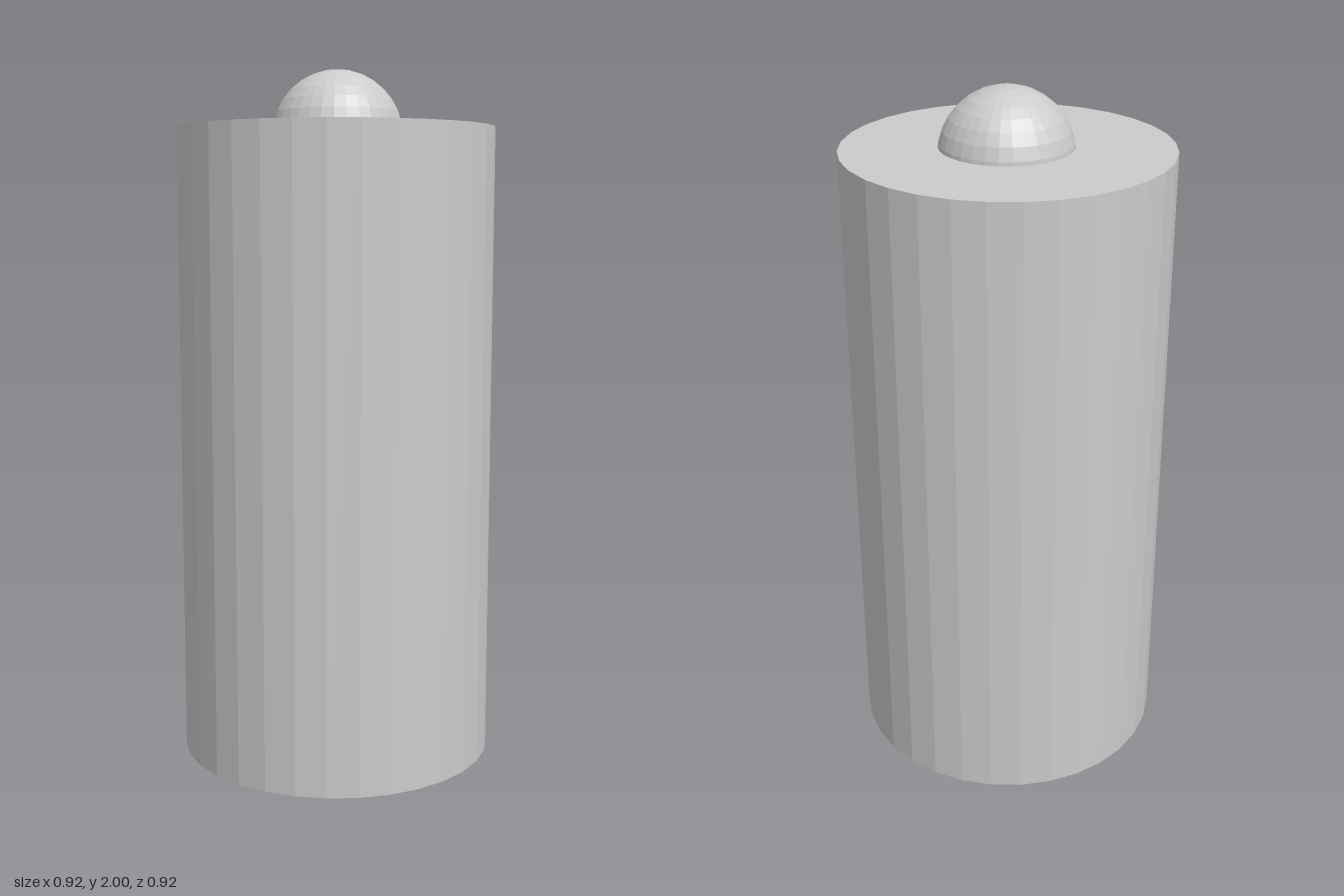
import * as THREE from 'three';

export function createModel() {
  const group = new THREE.Group();
  const material = new THREE.MeshStandardMaterial({ color: 0xcccccc, flatShading: true });

  const add = (name, geometry, y, z = 0) => {
    const mesh = new THREE.Mesh(geometry, material);
    mesh.name = name;
    mesh.position.set(0, y, z);
    group.add(mesh);
  };

  // Tall 32-sided body, standing on the ground
  const height = 1.837;
  add('body', new THREE.CylinderGeometry(0.458, 0.458, height, 32), height / 2);

  // Ball sunk into the top, slightly forward of centre
  const radius = 0.189;
  add('topKnob', new THREE.SphereGeometry(radius, 32, 16), 2 - radius, 0.011);

  return group;
}
